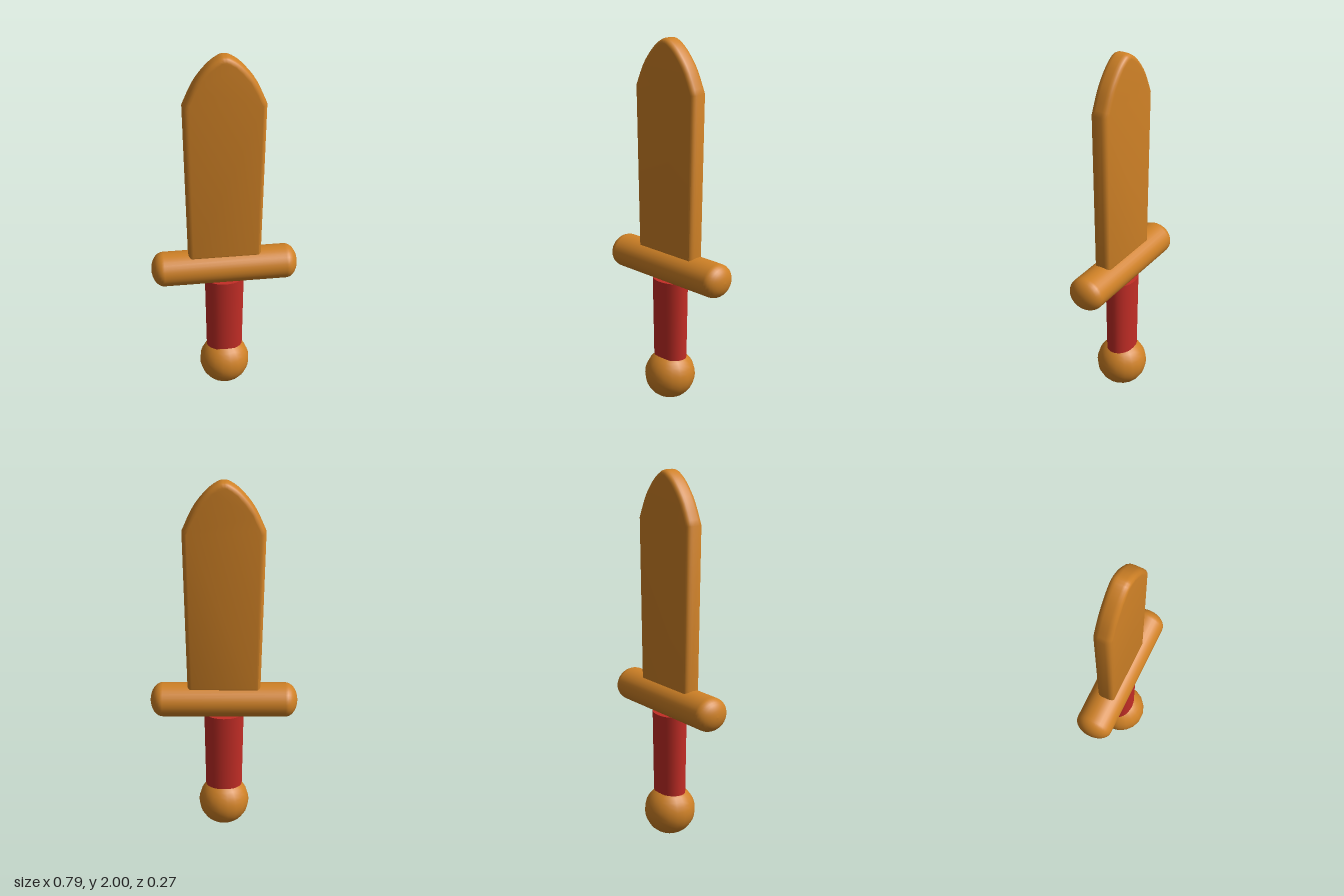
import * as THREE from 'three';
import { toCreasedNormals } from 'three/addons/utils/BufferGeometryUtils.js';

const wood = new THREE.MeshStandardMaterial({ color: 0xcf8126 });
wood.name = 'ochre wood';
const wrap = new THREE.MeshStandardMaterial({ color: 0xc32d26 });
wrap.name = 'red wrap';

function part(name, geometry, material, y = 0) {
  const mesh = new THREE.Mesh(geometry, material);
  mesh.name = name;
  mesh.position.y = y;
  return mesh;
}

// Blade: slightly flaring outline with a rounded point and softened edges
function bladeGeometry() {
  const arc = [[0.157, 1.86], [0.09, 1.947], [0.035, 1.99]];
  const shape = new THREE.Shape();
  shape.moveTo(-0.195, 0.845);
  shape.lineTo(0.195, 0.845);
  shape.lineTo(0.212, 1.74);
  shape.splineThru([
    ...arc.map(([x, y]) => new THREE.Vector2(x, y)),
    new THREE.Vector2(0, 2),
    ...arc.reverse().map(([x, y]) => new THREE.Vector2(-x, y)),
    new THREE.Vector2(-0.212, 1.74),
  ]);
  shape.closePath();
  const geometry = new THREE.ExtrudeGeometry(shape, {
    depth: 0.036, bevelThickness: 0.03, bevelSize: 0.024, bevelOffset: -0.024,
    bevelSegments: 4, curveSegments: 3,
  });
  geometry.translate(0, 0, -0.018);
  return toCreasedNormals(geometry, 0.7);
}

// Guard: round bar with domed ends, lathed and laid along x
function guardGeometry() {
  const points = [];
  const steps = 8;
  for (const side of [-1, 1]) {
    for (let i = 0; i <= steps; i++) {
      const a = (side < 0 ? i : steps - i) / steps * Math.PI / 2;
      points.push(new THREE.Vector2(Math.sin(a), side * (0.33 + 0.066 * Math.cos(a))));
    }
  }
  const geometry = new THREE.LatheGeometry(points, 32);
  geometry.rotateZ(Math.PI / 2);
  geometry.scale(1, 0.091, 0.1);
  return geometry;
}

export function createModel() {
  const group = new THREE.Group();
  group.name = 'toySword';

  group.add(part('blade', bladeGeometry(), wood));
  group.add(part('guard', guardGeometry(), wood, 0.782));

  // Grip: oval, narrowing a little towards the pommel
  const grip = new THREE.CylinderGeometry(0.107, 0.1, 0.455, 32);
  grip.scale(1, 1, 0.76);
  grip.translate(0, 0, -0.002);
  group.add(part('grip', grip, wrap, 0.4775));

  group.add(part('pommel', new THREE.SphereGeometry(0.139, 18, 16), wood, 0.139));
  return group;
}
